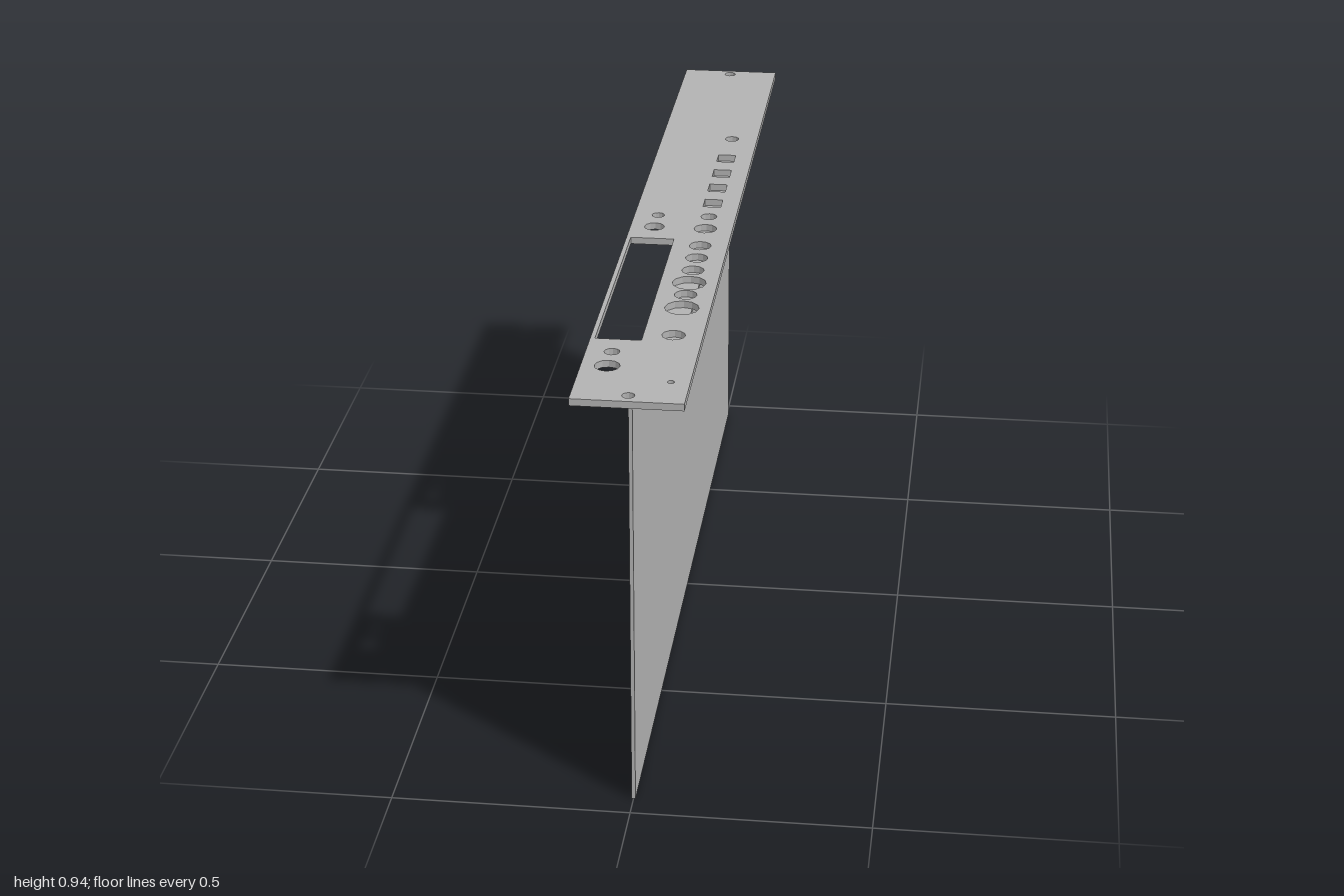
import * as THREE from 'three';

const SIDES = 12;

// Plan-view holes: [x, z, radius]
const ROUND_HOLES = [
  [0, -0.976, 0.013], [0, 0.972, 0.013], [0.075, 0.9, 0.007],
  [0.053, -0.5, 0.016], [0.053, 0.01, 0.018], [0.053, 0.083, 0.025],
  [0.053, 0.184, 0.024], [0.053, 0.255, 0.024], [0.053, 0.325, 0.024],
  [0.053, 0.395, 0.036], [0.053, 0.46, 0.024], [0.053, 0.53, 0.036],
  [0.053, 0.672, 0.024],
  [-0.06, 0.013, 0.014], [-0.06, 0.083, 0.022],
  [-0.06, 0.768, 0.016], [-0.06, 0.837, 0.026],
];
// Plan-view cutouts: [x, z, width, length]
const RECT_HOLES = [
  [-0.056, 0.429, 0.095, 0.553],
  ...[-0.365, -0.265, -0.17, -0.073].map((z) => [0.053, z, 0.04, 0.046]),
];

const rectPoints = (x, z, w, l) => [
  [-1, -1], [1, -1], [1, 1], [-1, 1],
].map(([i, j]) => new THREE.Vector2(x + (i * w) / 2, -z + (j * l) / 2));

const circlePoints = (x, z, r) => Array.from({ length: SIDES }, (_, i) => {
  const a = (i / SIDES) * Math.PI * 2;
  return new THREE.Vector2(x + r * Math.cos(a), -z + r * Math.sin(a));
});

export function createModel() {
  const group = new THREE.Group();
  const metal = new THREE.MeshStandardMaterial({ color: 0xb2b2b2 });
  metal.name = 'light grey';

  const add = (name, geometry, x, y) => {
    const mesh = new THREE.Mesh(geometry, metal);
    mesh.name = name;
    mesh.position.set(x, y, 0);
    group.add(mesh);
  };

  // Perforated panel, extruded upwards
  const outline = new THREE.Shape(rectPoints(0, 0, 0.226, 2));
  for (const h of ROUND_HOLES) outline.holes.push(new THREE.Path(circlePoints(...h)));
  for (const h of RECT_HOLES) outline.holes.push(new THREE.Path(rectPoints(...h)));
  const panel = new THREE.ExtrudeGeometry(outline, { depth: 0.015, bevelEnabled: false });
  panel.rotateX(-Math.PI / 2);
  add('panel', panel, 0, 0.92);

  // Upright sheet and the folded flange beneath the panel
  add('uprightSheet', new THREE.BoxGeometry(0.008, 0.92, 1.89), 0, 0.46);
  add('flange', new THREE.BoxGeometry(0.067, 0.009, 1.89), 0.0375, 0.9155);

  return group;
}
